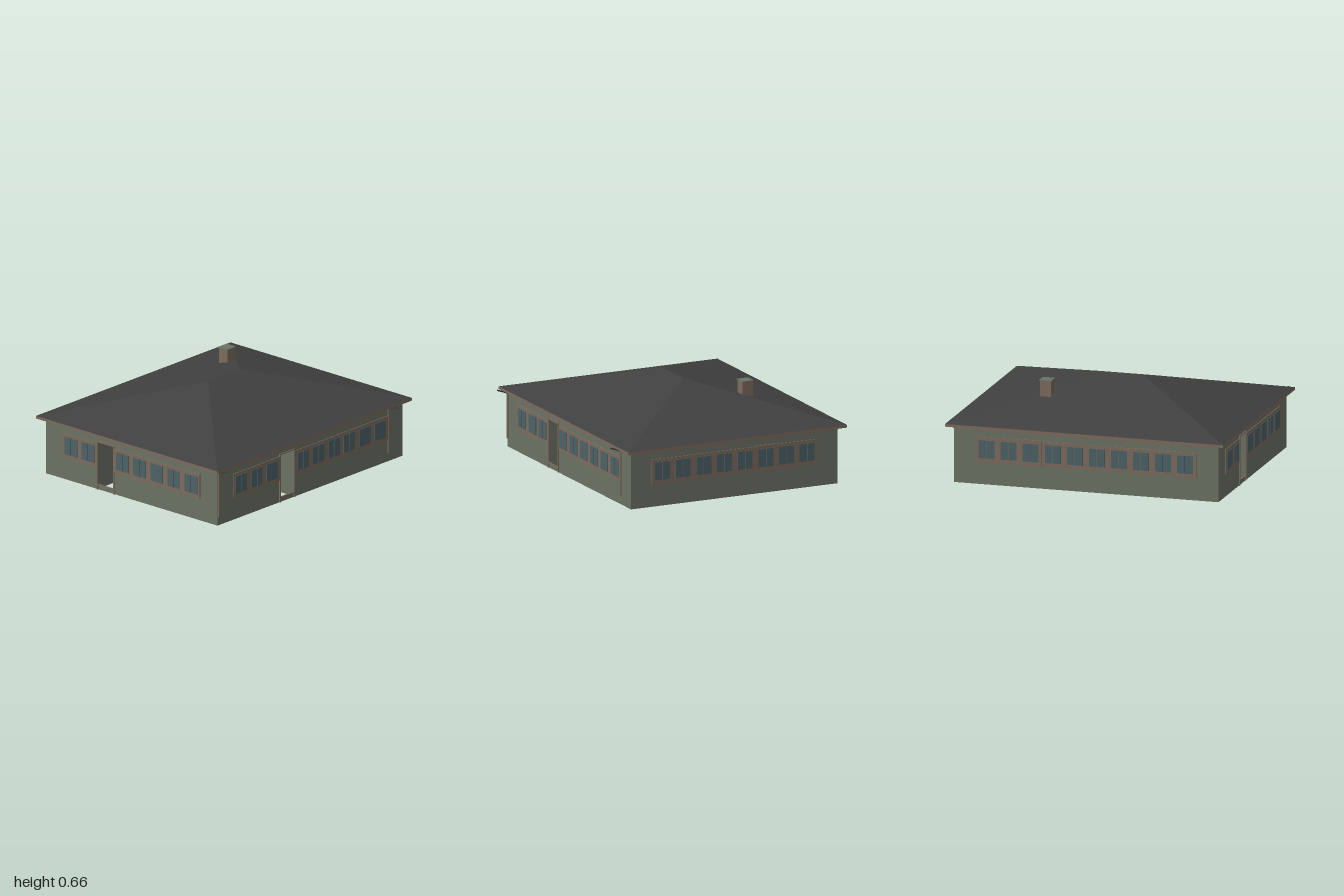
import * as THREE from 'three';

const mat = (name, color, double = false) => {
  const m = new THREE.MeshStandardMaterial({ color });
  m.name = name;
  if (double) m.side = THREE.DoubleSide;
  return m;
};

export function createModel() {
  const model = new THREE.Group();
  model.name = 'house';
  const wall = mat('wall green', 0x6c7265, true);
  const wood = mat('wood brown', 0x7c6b5d, true);
  const glass = mat('window blue', 0x4d6267);
  const roofGrey = mat('roof grey', 0x404040);

  const add = (parent, name, geo, material, x = 0, y = 0, z = 0) => {
    const m = new THREE.Mesh(geo, material);
    m.name = name;
    m.position.set(x, y, z);
    parent.add(m);
    return m;
  };
  const box = (parent, name, material, w, h, d, x, y, z) =>
    add(parent, name, new THREE.BoxGeometry(w, h, d), material, x, y, z);

  // The plan is a grid of square cells, 12 wide and 10 deep
  const C = 0.1585, H = 0.4, ZC = -0.0175;
  const gx = i => (i - 6) * C, gz = j => ZC + (j - 5) * C;

  // Pair of panes whose faces stand at depth z
  function windowPair(parent, x, z) {
    for (const s of [-1, 1])
      box(parent, 'windowPane', glass, 0.055, 0.127, 0.008, x + s * 0.0295, 0.25, z - 0.004);
  }

  // One outer wall with its cells, seen from outside along local +z
  function facade(name, n, x, z, turn, door = -1, framed = []) {
    const g = new THREE.Group();
    g.name = name;
    g.position.set(x, 0, z);
    g.rotation.y = turn;
    const half = n * C / 2, mid = i => (i + 0.5) * C - half;
    const rectangle = (T, a, b, y0, y1) => new T(
      [[a, y0], [b, y0], [b, y1], [a, y1]].map(p => new THREE.Vector2(...p)));

    const outline = rectangle(THREE.Shape, -half, half, 0, H);
    if (door >= 0)
      outline.holes.push(rectangle(THREE.Path, mid(door) - 0.07, mid(door) + 0.07, 0.04, 0.345));
    add(g, 'outerWall', new THREE.ShapeGeometry(outline), wall);
    box(g, 'topTrim', wood, n * C, 0.018, 0.009, 0, 0.393, 0.0035);

    // Inner wall and partitions of the edge cells
    add(g, 'innerWall', new THREE.PlaneGeometry((n - 2) * C, H), wall, 0, H / 2, -C);
    for (let i = 1; i < n; i++) {
      const p = add(g, 'partition', new THREE.PlaneGeometry(C, H), wall, i * C - half, H / 2, -C / 2);
      p.rotation.y = Math.PI / 2;
    }

    for (let i = 1; i < n - 1; i++) {
      const cx = mid(i);
      if (i === door) {
        // Open doorway with a slim frame
        for (const s of [-1, 1])
          box(g, 'doorPost', wood, 0.009, 0.345, 0.009, cx + s * 0.0745, 0.1725, 0.0035);
        box(g, 'doorHead', wood, 0.158, 0.008, 0.009, cx, 0.349, 0.0035);
        box(g, 'doorSill', wood, 0.14, 0.006, 0.009, cx, 0.037, 0.0035);
        windowPair(g, cx, -C + 0.007);
        continue;
      }
      box(g, 'windowBand', wood, C, 0.175, 0.009, cx, 0.2475, 0.0015);
      // A few windows stand on a slightly raised frame
      const raised = framed.includes(i);
      if (raised) box(g, 'raisedFrame', wood, 0.15, 0.185, 0.009, cx, 0.2475, 0.0055);
      windowPair(g, cx, raised ? 0.014 : 0.01);
    }
    model.add(g);
  }
  facade('frontWall', 12, 0, gz(10), 0, 4);
  facade('backWall', 12, 0, gz(0), Math.PI, -1, [3, 8]);
  facade('rightWall', 10, gx(12), ZC, Math.PI / 2, -1, [6]);
  facade('leftWall', 10, gx(0), ZC, -Math.PI / 2, 3);

  // Floor inside the edge cells, with two rows of open cells
  const rect = (T, i0, i1, j0, j1) => new T([
    [i0, j0], [i1, j0], [i1, j1], [i0, j1],
  ].map(([i, j]) => new THREE.Vector2(gx(i), -gz(j))));
  const slab = rect(THREE.Shape, 1, 11, 1, 9);
  const rows = [[5, 6, 2, 6], [2, 6, 7, 8]];
  for (const r of rows) slab.holes.push(rect(THREE.Path, ...r));
  const floor = add(model, 'floor', new THREE.ShapeGeometry(slab), wood, 0, 0.002, 0);
  floor.rotation.x = -Math.PI / 2;

  // Inner partitions round every open cell
  for (const [i0, i1, j0, j1] of rows) {
    const w = (i1 - i0) * C, d = (j1 - j0) * C;
    const xm = (gx(i0) + gx(i1)) / 2, zm = (gz(j0) + gz(j1)) / 2;
    for (let i = i0; i <= i1; i++) {
      const p = add(model, 'roomWall', new THREE.PlaneGeometry(d, H), wall, gx(i), H / 2, zm);
      p.rotation.y = Math.PI / 2;
    }
    for (let j = j0; j <= j1; j++)
      add(model, 'roomWall', new THREE.PlaneGeometry(w, H), wall, xm, H / 2, gz(j));
  }

  // Wooden eaves
  box(model, 'eaves', wood, 2, 0.019, 1.68, 0, 0.4105, -0.02);

  // Hipped roof: a box whose top is drawn in to a short ridge
  const roofBox = new THREE.BoxGeometry(2, 0.235, 1.68);
  const p = roofBox.attributes.position;
  for (let i = 0; i < p.count; i++)
    if (p.getY(i) > 0) p.setXYZ(i, Math.sign(p.getX(i)) * 0.163, p.getY(i), 0);
  const roofGeo = roofBox.toNonIndexed();
  roofGeo.computeVertexNormals();
  add(model, 'roof', roofGeo, roofGrey, 0, 0.5375, -0.02);

  // Chimney
  box(model, 'chimney', wood, 0.079, 0.2, 0.079, 0.417, 0.555, -0.368);
  box(model, 'chimneyCap', wall, 0.087, 0.009, 0.087, 0.417, 0.6595, -0.368);

  // Downpipes with a sloping spout at the top
  for (const x of [-0.942, 0.802]) {
    box(model, 'downpipe', wood, 0.009, 0.325, 0.009, x, 0.2225, 0.78);
    const spout = box(model, 'spout', roofGrey, 0.009, 0.009, 0.088, x, 0.395, 0.817);
    spout.rotation.x = -0.35;
  }
  return model;
}
